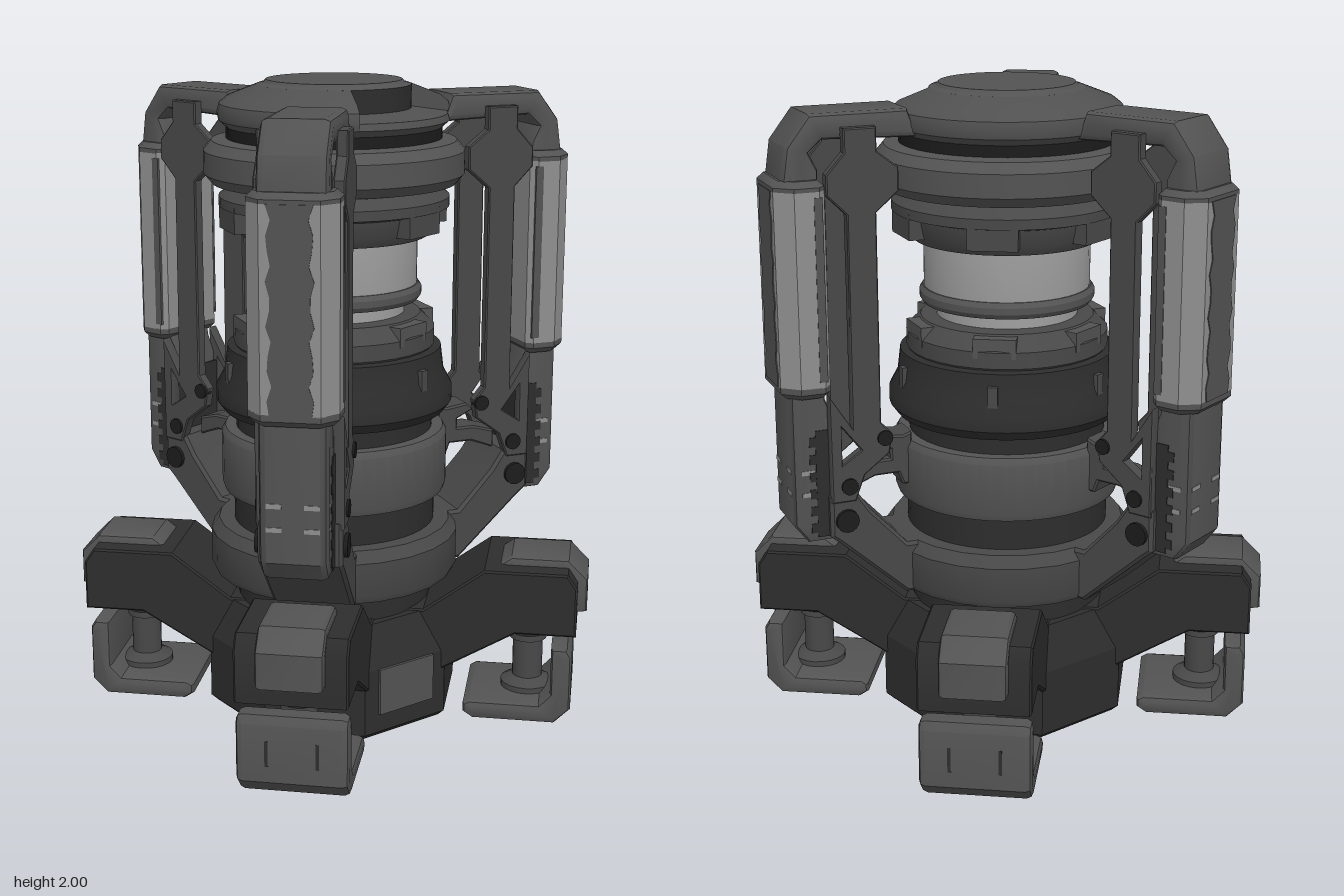
import * as THREE from 'three';
import { toCreasedNormals } from 'three/addons/utils/BufferGeometryUtils.js';

const mat = (name, color, side = THREE.FrontSide) => {
  const m = new THREE.MeshStandardMaterial({ color, side });
  m.name = name;
  return m;
};
const M = {
  dark: mat('dark grey', 0x2d2d2d),
  black: mat('near black', 0x1c1c1c),
  strut: mat('strut grey', 0x484848),
  mid: mat('mid grey', 0x535353),
  pad: mat('worn light grey', 0x8f8f8f),
  metal: mat('bright metal', 0xa0a0a0),
  lid: mat('lid grey', 0x505050, THREE.DoubleSide),
};

function add(parent, name, geo, material, x = 0, y = 0, z = 0) {
  const mesh = new THREE.Mesh(geo, material);
  mesh.name = name;
  mesh.position.set(x, y, z);
  parent.add(mesh);
  return mesh;
}
const box = (w, h, d) => new THREE.BoxGeometry(w, h, d);
const shapeOf = (pts) => new THREE.Shape(pts.map(([x, y]) => new THREE.Vector2(x, y)));

// Side profile (radius, height) extruded to a width centred on z, with bevelled edges
function slab(pts, width, bevel = 0.015, segments = 1, holes = []) {
  const s = shapeOf(pts);
  for (const h of holes) s.holes.push(new THREE.Path(h.map(([x, y]) => new THREE.Vector2(x, y))));
  const g = new THREE.ExtrudeGeometry(s, {
    depth: width - 2 * bevel, bevelEnabled: bevel > 0, bevelThickness: bevel,
    bevelSize: bevel, bevelOffset: -bevel, bevelSegments: segments,
  });
  g.translate(0, 0, -width / 2 + bevel);
  return toCreasedNormals(g, 0.6);
}
// Plan section (radius, across) extruded upwards from y0 to y1
function column(pts, y0, y1, bevel) {
  const g = slab(pts, y1 - y0, bevel);
  g.rotateX(-Math.PI / 2);
  g.translate(0, (y0 + y1) / 2, 0);
  return g;
}
const lathe = (pts, seg = 48, start = 0, len = Math.PI * 2) => toCreasedNormals(
  new THREE.LatheGeometry(pts.map(([x, y]) => new THREE.Vector2(x, y)), seg, start, len), 0.55);
const octagon = (r0, r1, h) => {
  const g = new THREE.CylinderGeometry(r1 / Math.cos(Math.PI / 8), r0 / Math.cos(Math.PI / 8), h, 8);
  g.rotateY(Math.PI / 8);
  return toCreasedNormals(g, 0.3);
};

// One base arm with its end cap, piston and foot, pointing along +x
function makeArm() {
  const arm = new THREE.Group();
  arm.name = 'baseArm';
  add(arm, 'armBeam', slab([[0.1, 0.1], [0.36, 0.16], [0.6, 0.3], [0.79, 0.3], [0.79, 0.46],
    [0.76, 0.505], [0.5, 0.505], [0.31, 0.365], [0.1, 0.365]], 0.335, 0.006), M.dark);
  add(arm, 'armCap', slab([[0.54, 0.46], [0.54, 0.5], [0.58, 0.53], [0.76, 0.53], [0.82, 0.47],
    [0.82, 0.36], [0.76, 0.35], [0.75, 0.46]], 0.2, 0.015, 2), M.mid);
  add(arm, 'piston', lathe([[0, 0.04], [0.085, 0.04], [0.085, 0.08], [0.048, 0.1], [0.048, 0.23],
    [0.06, 0.23], [0.06, 0.25], [0.085, 0.27], [0.085, 0.31]], 20), M.strut, 0.635, 0, 0);
  add(arm, 'foot', slab([[0.44, 0.02], [0.47, 0], [0.73, 0], [0.78, 0.05], [0.78, 0.23], [0.765, 0.255],
    [0.715, 0.255], [0.715, 0.1], [0.68, 0.062], [0.46, 0.062], [0.44, 0.05]], 0.335, 0.02, 2), M.mid);
  for (const z of [-0.075, 0.075]) {
    add(arm, 'footGroove', box(0.004, 0.08, 0.01), M.dark, 0.779, 0.14, z);
    add(arm, 'soleGroove', box(0.16, 0.004, 0.02), M.dark, 0.58, 0.001, z);
  }
  return arm;
}

// One guard upright with its twin struts, pad, bracket and clamp, pointing along +x
function makeUpright() {
  const up = new THREE.Group();
  up.name = 'guardUpright';
  add(up, 'spine', slab([[0.32, 1.865], [0.35, 1.95], [0.65, 1.95], [0.72, 1.86], [0.735, 1.76],
    [0.735, 0.71], [0.69, 0.65], [0.6, 0.65], [0.6, 1.04], [0.625, 1.1], [0.625, 1.79],
    [0.65, 1.84], [0.61, 1.875]], 0.2, 0.022, 2), M.mid);
  add(up, 'bracket', slab([[0.63, 0.8], [0.63, 0.67], [0.6, 0.645], [0.39, 0.45], [0.25, 0.45],
    [0.25, 0.615], [0.385, 0.615], [0.5, 0.74], [0.54, 0.8]], 0.25, 0.01), M.strut);
  // Ratchet strip along the lower spine
  add(up, 'ratchetStrip', box(0.07, 0.34, 0.206), M.dark, 0.63, 0.84, 0);
  for (let i = 0; i < 6; i++) add(up, 'ratchetTooth', box(0.025, 0.03, 0.205), M.dark, 0.672, 0.7 + i * 0.055, 0);
  // Grip pad: pale flanks between grey ends, with a grey strip in front
  const section = [[0.615, -0.11], [0.635, -0.13], [0.71, -0.13], [0.76, -0.085],
    [0.76, 0.085], [0.71, 0.13], [0.635, 0.13], [0.615, 0.11]];
  add(up, 'padFlanks', column(section, 1.15, 1.735, 0), M.pad);
  for (const [a, b] of [[1.115, 1.17], [1.715, 1.765]]) add(up, 'padEnd', column(section, a, b, 0.018), M.mid);
  // Ragged front strip where the pale finish has worn away
  const edge = [];
  for (let i = 0; i <= 14; i++) edge.push([0.06 + 0.008 * Math.sin(i * 2.3), 1.15 + i * 0.0418]);
  const strip = new THREE.ExtrudeGeometry(
    shapeOf([...edge, ...edge.map(([x, y]) => [-x, y]).reverse()]), { depth: 0.004, bevelEnabled: false });
  strip.rotateY(Math.PI / 2);
  add(up, 'padStrip', strip, M.mid, 0.759, 0, 0);
  for (const s of [-1, 1]) {
    // Thin side plate strut with a pierced foot and a necked gusset under the top beam
    add(up, 'strut', slab([[0.465, 1.02], [0.43, 0.98], [0.44, 0.92], [0.52, 0.86], [0.55, 0.78],
      [0.625, 0.78], [0.625, 1.12], [0.555, 1.01], [0.555, 1.66], [0.615, 1.72], [0.615, 1.78],
      [0.56, 1.84], [0.56, 1.91], [0.46, 1.91], [0.46, 1.84], [0.395, 1.79], [0.395, 1.72], [0.465, 1.66]],
    0.035, 0.004, 1, [[[0.53, 0.94], [0.59, 0.9], [0.59, 1.02]]]), M.strut, 0, 0, s * 0.112);
    add(up, 'padBackEdge', box(0.025, 0.55, 0.008), M.mid, 0.64, 1.443, s * 0.128);
    for (const y of [0.81, 0.88]) {
      add(up, 'frontDash', box(0.004, 0.014, 0.045), M.pad, 0.735, y, s * 0.055);
      add(up, 'sideDash', box(0.04, 0.014, 0.004), M.pad, 0.69, y, s * 0.1);
    }
    // Pivot bolts
    for (const [x, y, r] of [[0.455, 0.97, 0.024], [0.57, 0.83, 0.026], [0.58, 0.72, 0.036]]) {
      const bolt = add(up, 'pivotBolt', new THREE.CylinderGeometry(r, r, 0.03, 16), M.black, x, y, s * 0.122);
      bolt.rotation.x = Math.PI / 2;
    }
  }
  // Clamp gripping the core
  add(up, 'clamp', slab([[0.34, 0.78], [0.37, 0.78], [0.385, 0.82], [0.46, 0.82], [0.54, 0.79], [0.54, 0.85],
    [0.47, 0.87], [0.41, 0.87], [0.41, 0.9], [0.47, 0.93], [0.44, 0.95], [0.37, 0.94], [0.34, 0.95]],
  0.1, 0.006), M.strut);
  return up;
}

function makeCore() {
  const core = new THREE.Group();
  core.name = 'core';
  add(core, 'lowerNeck', lathe([[0.31, 0.34], [0.31, 0.46], [0.32, 0.46], [0.32, 0.73]]), M.dark);
  add(core, 'supportRing', lathe([[0.3, 0.45], [0.385, 0.45], [0.395, 0.47], [0.395, 0.58], [0.37, 0.615],
    [0.32, 0.615]], 24), M.strut);
  add(core, 'drum', lathe([[0.3, 0.72], [0.35, 0.72], [0.357, 0.74], [0.357, 0.9], [0.345, 0.92], [0.3, 0.92]]), M.mid);
  add(core, 'collar', lathe([[0.31, 0.91], [0.31, 0.97], [0.35, 0.98], [0.372, 1.01], [0.372, 1.05],
    [0.345, 1.1], [0.335, 1.18], [0.27, 1.19]]), M.dark);
  add(core, 'shoulder', lathe([[0.3, 1.17], [0.315, 1.19], [0.315, 1.24], [0.27, 1.285], [0.2, 1.29]], 32), M.strut);
  add(core, 'glassTube', lathe([[0.22, 1.28], [0.22, 1.34], [0.25, 1.34], [0.258, 1.38], [0.258, 1.54]]), M.metal);
  add(core, 'tubeRing', lathe([[0.22, 1.33], [0.262, 1.33], [0.272, 1.345], [0.272, 1.365], [0.262, 1.38], [0.22, 1.38]]), M.mid);
  add(core, 'headUnderside', lathe([[0.2, 1.53], [0.29, 1.53], [0.31, 1.56], [0.32, 1.61], [0.355, 1.62],
    [0.355, 1.65], [0.32, 1.68], [0.34, 1.7]]), M.strut);
  add(core, 'headBand', lathe([[0.32, 1.68], [0.375, 1.69], [0.4, 1.72], [0.4, 1.79], [0.375, 1.82], [0.3, 1.83]]), M.mid);
  add(core, 'headGap', lathe([[0.33, 1.81], [0.33, 1.88]]), M.black);
  // Blocks around the head underside and shoulder, studs on the collar
  for (let i = 0; i < 6; i++) {
    const ring = new THREE.Group();
    ring.name = 'coreBlocks';
    ring.rotation.y = (i / 6) * Math.PI * 2 + Math.PI / 6;
    add(ring, 'headBlock', box(0.07, 0.08, 0.15), M.strut, 0.312, 1.595, 0);
    add(ring, 'shoulderBlock', box(0.07, 0.06, 0.13), M.mid, 0.275, 1.25, 0);
    add(ring, 'collarStud', box(0.03, 0.07, 0.03), M.strut, 0.34, 1.11, 0);
    core.add(ring);
  }
  return core;
}

// Domed lid with a curved notch cut into its rim
function makeLid() {
  const lid = new THREE.Group();
  lid.name = 'lid';
  const a = THREE.MathUtils.degToRad(21), b = THREE.MathUtils.degToRad(105);
  const rim = [[0.235, 1.86], [0.33, 1.86], [0.352, 1.88], [0.357, 1.905], [0.35, 1.93], [0.325, 1.95], [0.235, 1.985]];
  add(lid, 'lidRim', lathe(rim, 40, b, Math.PI * 2 - (b - a)), M.lid);
  for (const t of [a, b]) {
    const end = add(lid, 'notchEnd', new THREE.ShapeGeometry(shapeOf(rim)), M.lid);
    end.rotation.y = t - Math.PI / 2;
  }
  add(lid, 'notchFloor', lathe([[0.235, 1.86], [0.33, 1.86], [0.352, 1.88], [0.345, 1.9], [0.235, 1.915]], 20, a, b - a), M.lid);
  add(lid, 'notchWall', lathe([[0.235, 1.86], [0.235, 1.985]]), M.dark);
  add(lid, 'lidCrown', lathe([[0.235, 1.985], [0.215, 1.991], [0.207, 2], [0, 2]]), M.mid);
  return lid;
}

export function createModel() {
  const model = new THREE.Group();
  model.name = 'lanternDevice';

  // Octagonal base
  add(model, 'baseFoot', octagon(0.36, 0.38, 0.02), M.dark, 0, 0.01, 0);
  add(model, 'baseBody', octagon(0.38, 0.38, 0.21), M.dark, 0, 0.125, 0);
  add(model, 'baseTop', octagon(0.38, 0.33, 0.13), M.dark, 0, 0.295, 0);
  const plate = add(model, 'basePanel', box(0.21, 0.15, 0.009), M.mid, 0.272, 0.155, 0.272);
  plate.rotation.y = Math.PI / 4;

  for (let i = 0; i < 4; i++) {
    const arm = makeArm();
    arm.rotation.y = (i * Math.PI) / 2;
    model.add(arm);
  }
  for (let i = 0; i < 3; i++) {
    const up = makeUpright();
    up.rotation.y = -Math.PI / 2 + (i * Math.PI * 2) / 3;
    model.add(up);
  }
  model.add(makeCore(), makeLid());
  return model;
}
